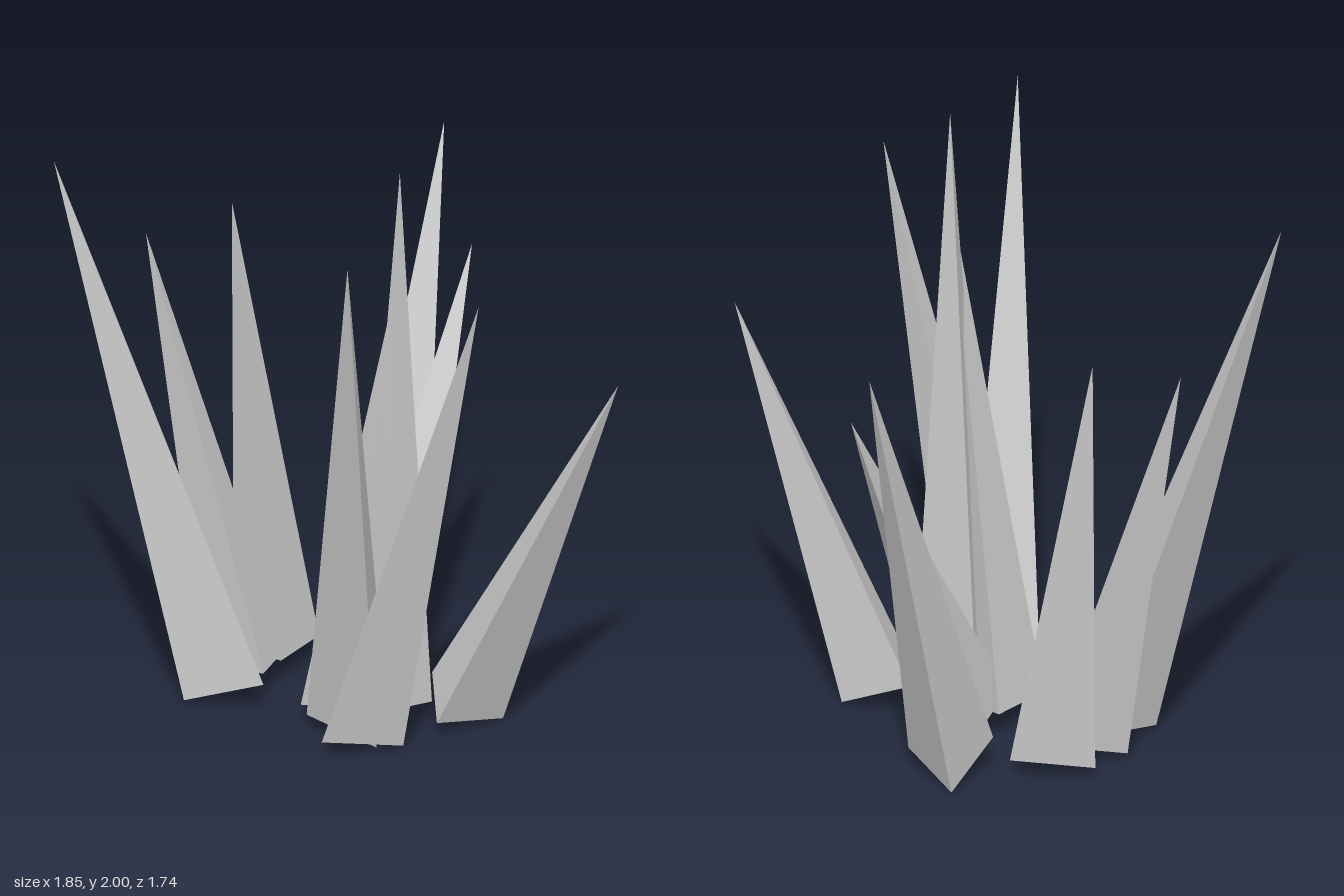
import * as THREE from 'three';

const BASE_Y = 0.062;
const BASE_RADIUS = 0.157;

// Each spike: tip [x, y, z], base centre [x, z], one base corner [x, z] that sets the twist
const SPIKES = [
  { tip: [-0.93, 1.84, 0.13], base: [-0.365, 0.117], corner: [-0.24, 0.2] },
  { tip: [-0.7, 1.45, -0.215], base: [-0.32, -0.03], corner: [-0.26, 0.1] },
  { tip: [-0.45, 1.52, -0.355], base: [-0.265, -0.17], corner: [-0.155, -0.28] },
  { tip: [0.135, 1.62, -0.87], base: [0.028, -0.325], corner: [-0.08, -0.22] },
  { tip: [0.28, 1.33, -0.59], base: [0.075, 0.003], corner: [0.23, 0.05] },
  { tip: [0.23, 2.0, 0.34], base: [0.135, 0.14], corner: [0.28, 0.125] },
  { tip: [0.24, 1.7, 0.37], base: [0.0, 0.128], corner: [-0.11, 0.24] },
  { tip: [0.165, 1.9, 0.87], base: [0.08, 0.3], corner: [-0.075, 0.315] },
  { tip: [0.55, 1.71, 0.67], base: [0.1, 0.38], corner: [0.01, 0.51] },
  { tip: [0.92, 1.28, 0.26], base: [0.377, 0.143], corner: [0.34, 0.3] },
];

// Three-sided cone standing on its base centre, leaning to its tip
function makeSpike({ tip, base, corner }, material) {
  const foot = new THREE.Vector3(base[0], BASE_Y, base[1]);
  const axis = new THREE.Vector3(...tip).sub(foot);
  const height = axis.length();
  axis.normalize();

  // Corner direction, raised or lowered into the plane of the tilted base
  const dx = corner[0] - base[0];
  const dz = corner[1] - base[1];
  const out = new THREE.Vector3(dx, -(axis.x * dx + axis.z * dz) / axis.y, dz).normalize();
  const side = new THREE.Vector3().crossVectors(axis, out);

  const geometry = new THREE.ConeGeometry(BASE_RADIUS, height, 3);
  geometry.translate(0, height / 2, 0);
  const spike = new THREE.Mesh(geometry, material);
  spike.quaternion.setFromRotationMatrix(new THREE.Matrix4().makeBasis(side, axis, out));
  spike.position.copy(foot);
  return spike;
}

export function createModel() {
  const model = new THREE.Group();
  model.name = 'spikeCluster';
  const material = new THREE.MeshStandardMaterial({ color: 0xcccccc, flatShading: true });
  SPIKES.forEach((data, i) => {
    const spike = makeSpike(data, material);
    spike.name = `spike${i + 1}`;
    model.add(spike);
  });
  return model;
}
